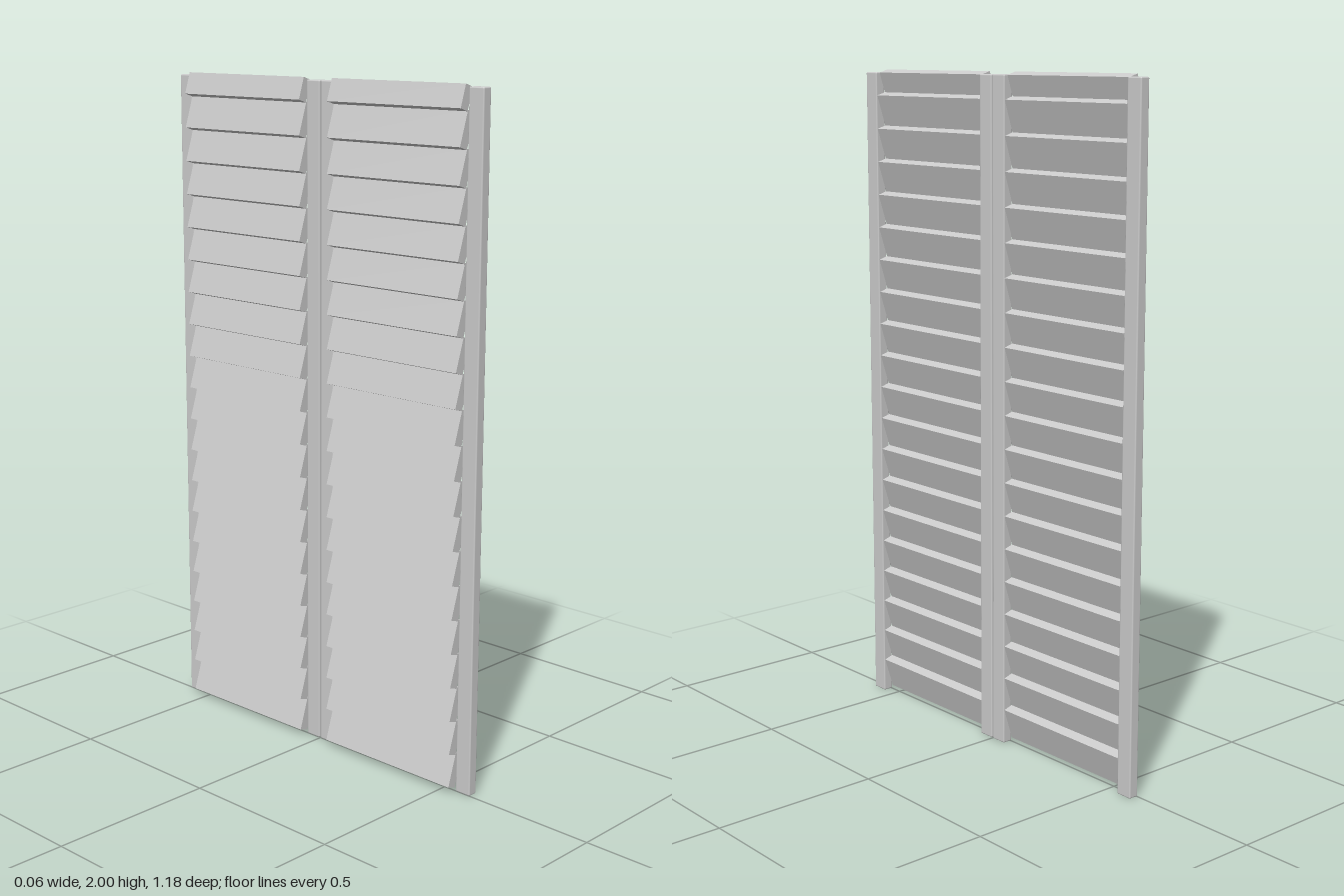
import * as THREE from 'three';
import { RoundedBoxGeometry } from 'three/addons/geometries/RoundedBoxGeometry.js';

const SLATS = 20, PITCH = 0.1008, THICK = 0.03, SLAT_LENGTH = 0.484;
const TILT = Math.atan2(0.3, 0.95);
const material = new THREE.MeshStandardMaterial({ color: 0xcccccc });

function add(parent, name, geometry, x, y, z) {
  const mesh = new THREE.Mesh(geometry, material);
  mesh.name = name;
  mesh.position.set(x, y, z);
  parent.add(mesh);
  return mesh;
}

// One louvred panel: two upright posts with tilted slats between them
function createPanel(name, side) {
  const panel = new THREE.Group();
  panel.name = name;

  const post = new RoundedBoxGeometry(0.031, 1.99, 0.051, 2, 0.004);
  add(panel, 'innerPost', post, 0.0135, 0.995, side * 0.028);
  add(panel, 'outerPost', post, 0.0135, 0.995, side * 0.567);

  const fullSlat = new THREE.BoxGeometry(THICK, 0.1, SLAT_LENGTH);
  const topSlat = new THREE.BoxGeometry(THICK, 0.066, SLAT_LENGTH);
  for (let i = 0; i < SLATS; i++) {
    // The top slat is trimmed shorter; all hang from the same lower outer corner
    const last = i === SLATS - 1;
    const h = (last ? 0.066 : 0.1) / 2, t = THICK / 2;
    const x = -0.031 + t * Math.cos(TILT) + h * Math.sin(TILT);
    const y = 0.0195 + i * PITCH - t * Math.sin(TILT) + h * Math.cos(TILT);
    const slat = add(panel, 'slat', last ? topSlat : fullSlat, x, y, side * 0.297);
    slat.rotation.z = -TILT;
  }
  return panel;
}

export function createModel() {
  const model = new THREE.Group();
  model.name = 'louvredShutters';
  model.add(createPanel('frontPanel', 1), createPanel('backPanel', -1));
  return model;
}
